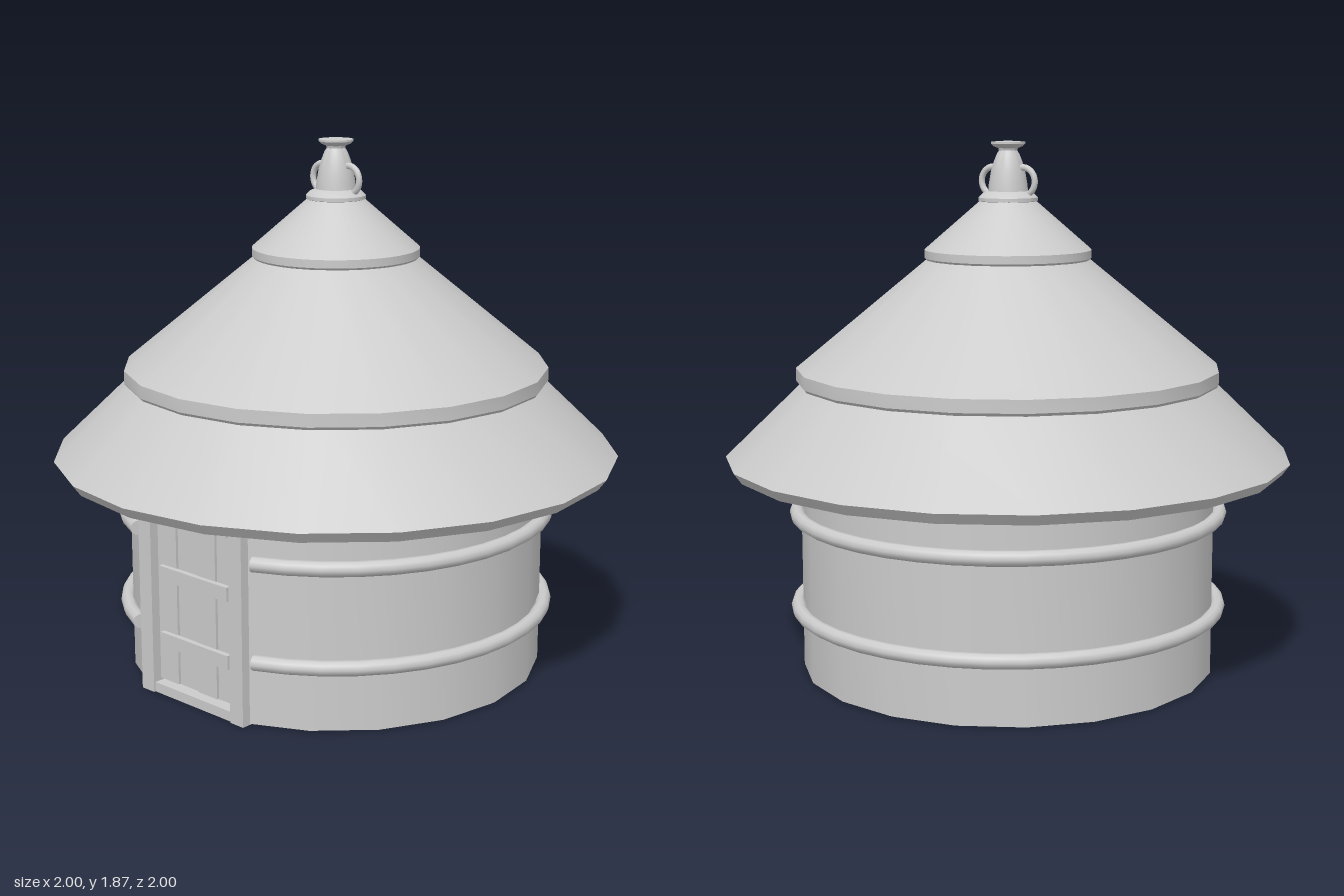
import * as THREE from 'three';
import { toCreasedNormals } from 'three/addons/utils/BufferGeometryUtils.js';

const SIDES = 20;
const STEP = (Math.PI * 2) / SIDES;
const material = new THREE.MeshStandardMaterial({ color: 0xcccccc, side: THREE.DoubleSide });

function add(parent, name, geometry, x = 0, y = 0, z = 0) {
  const mesh = new THREE.Mesh(geometry, material);
  mesh.name = name;
  mesh.position.set(x, y, z);
  parent.add(mesh);
  return mesh;
}

function lathe(points, sides, start = 0, length = Math.PI * 2) {
  const profile = points.map(([r, y]) => new THREE.Vector2(r, y));
  return toCreasedNormals(new THREE.LatheGeometry(profile, sides, start, length), 0.5);
}

const box = (x0, x1, y0, y1, z0, z1) =>
  new THREE.BoxGeometry(x1 - x0, y1 - y0, z1 - z0)
    .translate((x0 + x1) / 2, (y0 + y1) / 2, (z0 + z1) / 2);

export function createModel() {
  const hut = new THREE.Group();
  hut.name = 'roundHut';

  // Thick round wall, open over two facets at -x for the door
  add(hut, 'wall', lathe(
    [[0.66, 0.99], [0.66, 0.004], [0.737, 0.004], [0.737, 0.98]],
    SIDES - 2, Math.PI * 1.5 + STEP, Math.PI * 2 - 2 * STEP));

  // Binding hoops that stop beside the door frame, with closed ends
  const gap = 0.38;
  for (const y of [0.232, 0.572]) {
    const hoop = new THREE.TorusGeometry(0.753, 0.026, 10, 36, Math.PI * 2 - 2 * gap)
      .rotateZ(Math.PI + gap).rotateX(Math.PI / 2);
    add(hut, 'wallHoop', hoop, 0, y, 0);
    for (const s of [-1, 1]) {
      const cap = add(hut, 'hoopEnd', new THREE.CircleGeometry(0.026, 10),
        -0.753 * Math.cos(gap), y, s * 0.753 * Math.sin(gap));
      cap.rotation.y = s * gap;
    }
  }

  // Door with frame, planks and battens
  const door = new THREE.Group();
  door.name = 'door';
  hut.add(door);
  for (const s of [-1, 1]) {
    const post = box(-0.722, -0.63, 0, 0.95, -0.03, 0.03);
    add(door, 'doorPost', post, 0, 0, s * 0.22);
  }
  add(door, 'doorSill', box(-0.715, -0.665, 0, 0.035, -0.2, 0.2));
  add(door, 'doorLintel', box(-0.715, -0.65, 0.82, 0.95, -0.2, 0.2));
  for (let i = 0; i < 4; i++) {
    const z = -0.188 + i * 0.095;
    const inset = (i % 2) * 0.006;
    add(door, 'doorPlank', box(-0.69 + inset, -0.665 + inset, 0.045, 0.82, z, z + 0.091));
  }
  for (const y of [0.2, 0.44, 0.66]) {
    add(door, 'doorBatten', box(-0.708, -0.688, y - 0.025, y + 0.025, -0.165, 0.165));
  }

  // Three overlapping roof tiers, the lowest with a flat underside at the eave
  add(hut, 'lowerRoof', lathe(
    [[0.25, 1.36], [0.915, 0.732], [0.972, 0.732], [1, 0.77], [0.65, 1.107]], SIDES));
  add(hut, 'middleRoof', lathe(
    [[0.66, 1.06], [0.74, 1.028], [0.748, 1.038], [0.748, 1.083], [0.27, 1.475]], SIDES));
  add(hut, 'upperRoof', lathe(
    [[0.24, 1.47], [0.287, 1.46], [0.293, 1.467], [0.293, 1.495], [0.08, 1.68]], 40));

  // Vase finial
  add(hut, 'finial', lathe([
    [0, 1.655], [0.09, 1.658], [0.104, 1.664], [0.104, 1.676], [0.09, 1.69], [0.07, 1.698],
    [0.067, 1.725], [0.06, 1.765], [0.051, 1.797], [0.04, 1.825], [0.032, 1.838],
    [0.034, 1.846], [0.05, 1.852], [0.06, 1.861], [0.06, 1.868], [0, 1.872]], 32));
  for (const s of [-1, 1]) {
    const handle = new THREE.TorusGeometry(0.046, 0.011, 10, 28).rotateY(Math.PI / 2);
    add(hut, 'finialHandle', handle, 0, 1.732, s * 0.062).scale.y = 1.05;
  }

  return hut;
}
